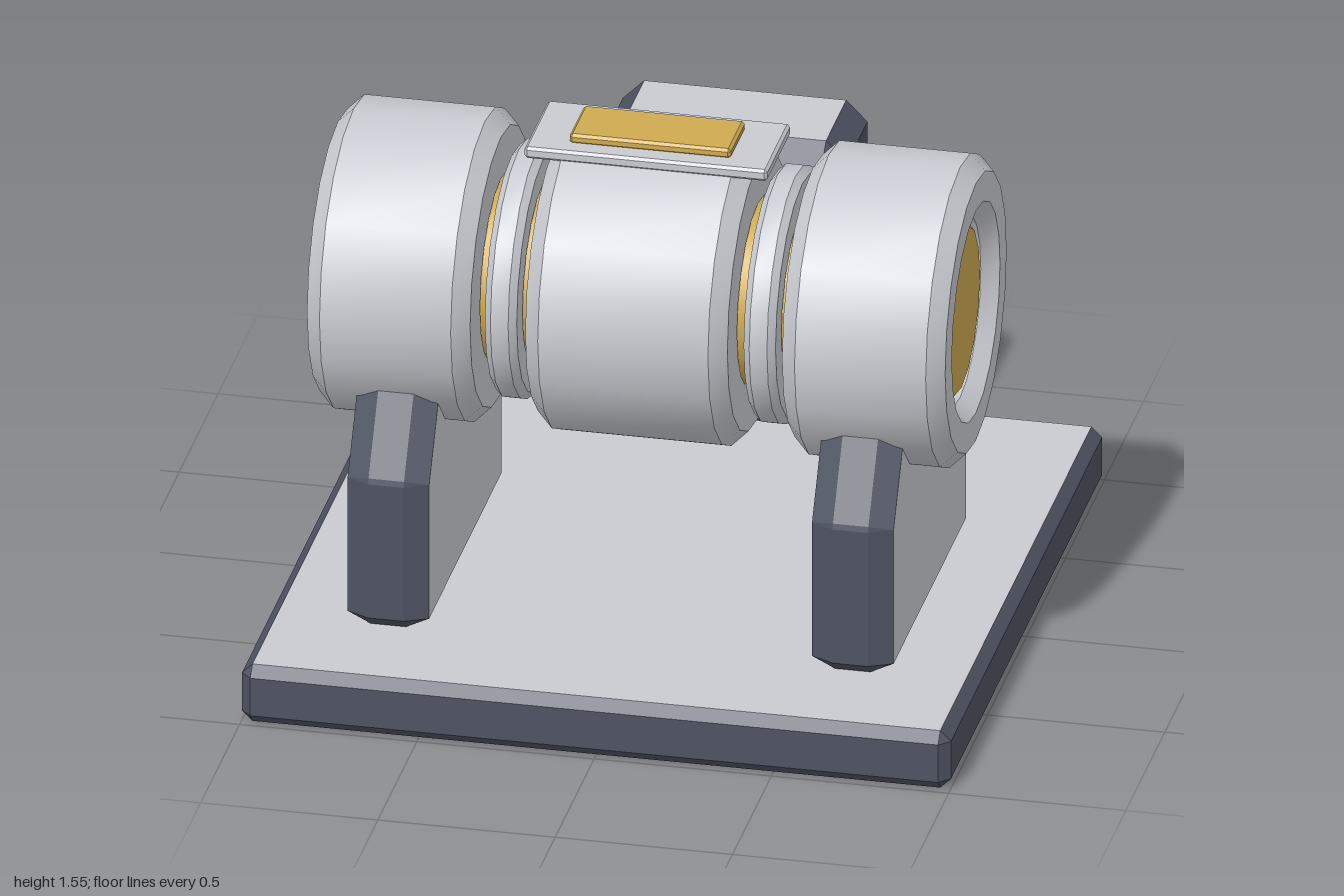
import * as THREE from 'three';
import { toCreasedNormals } from 'three/addons/utils/BufferGeometryUtils.js';
import { ConvexGeometry } from 'three/addons/geometries/ConvexGeometry.js';

const material = (name, color) => {
  const m = new THREE.MeshStandardMaterial({ color });
  m.name = name;
  return m;
};

// Convex prism along z with chamfered edges; group 0 = end caps, group 1 = sides and chamfers.
// `outline` is the counter-clockwise cap outline, the sides stand `size` outside it.
function chamferedPrism(outline, depth, size, thickness) {
  const points = [];
  const h = depth / 2;
  outline.forEach(([x, y], i) => {
    const [x2, y2] = outline[(i + 1) % outline.length];
    const length = Math.hypot(x2 - x, y2 - y);
    const ox = ((y2 - y) / length) * size;
    const oy = (-(x2 - x) / length) * size;
    for (const s of [-1, 1]) {
      const z = s * (h - thickness);
      points.push(new THREE.Vector3(x, y, s * h));
      points.push(new THREE.Vector3(x + ox, y + oy, z), new THREE.Vector3(x2 + ox, y2 + oy, z));
    }
  });
  const geometry = new ConvexGeometry(points);
  const normal = geometry.attributes.normal;
  for (let i = 0; i < normal.count; i += 3) {
    geometry.addGroup(i, 3, Math.abs(normal.getZ(i)) > 0.99 ? 0 : 1);
  }
  return geometry;
}

const rectangle = (w, d) => [[-w / 2, -d / 2], [w / 2, -d / 2], [w / 2, d / 2], [-w / 2, d / 2]];

// Chamfered slab with its caps facing up and down, given by overall sizes
function slab(w, h, d, bevel) {
  return chamferedPrism(rectangle(w - 2 * bevel, d - 2 * bevel), h, bevel, bevel).rotateX(-Math.PI / 2);
}

// Turned part around the x axis; profile is [radius, x]
function turned(profile, segments) {
  const lathe = new THREE.LatheGeometry(profile.map(([r, x]) => new THREE.Vector2(r, x)), segments);
  return toCreasedNormals(lathe.rotateZ(-Math.PI / 2), 0.5);
}

// Hollow drum with chamfered rims
function drumProfile(x0, x1, radius, bore, chamfer) {
  return [
    [bore, x0], [radius - chamfer, x0], [radius, x0 + chamfer],
    [radius, x1 - chamfer], [radius - chamfer, x1], [bore, x1], [bore, x0],
  ];
}

export function createModel() {
  const grey = material('light grey', 0xc8cbd1);
  const navy = material('dark slate', 0x4e5362);
  const gold = material('gold', 0xcfaa50);
  const model = new THREE.Group();
  model.name = 'drumMachine';

  const add = (parent, name, geometry, mat, x = 0, y = 0, z = 0) => {
    const mesh = new THREE.Mesh(geometry, mat);
    mesh.name = name;
    mesh.position.set(x, y, z);
    parent.add(mesh);
    return mesh;
  };

  // Base and rear housing
  add(model, 'base', slab(2, 0.175, 2, 0.03), [grey, navy], 0, 0.0875, 0);
  add(model, 'rearHousing', slab(0.69, 0.88, 0.38, 0.06), [grey, navy], 0, 0.68, -0.81);

  // Two cradle supports under the outer drums
  const cradle = [[-0.465, 0.21], [0.465, 0.21], [0.465, 0.62], [0.3, 0.9], [-0.3, 0.9], [-0.465, 0.62]];
  const support = chamferedPrism(cradle, 0.23, 0.032, 0.065).rotateY(Math.PI / 2);
  add(model, 'leftSupport', support, [grey, navy], 0.655, 0, 0.195);
  add(model, 'rightSupport', support, [grey, navy], -0.655, 0, 0.195);

  // Drum assembly on a common axle
  const drums = new THREE.Group();
  drums.name = 'drumAssembly';
  drums.position.set(0, 1.08, 0.195);
  model.add(drums);

  const end = 0.86;
  add(drums, 'axle', turned([
    [0, -end], [0.235, -end], [0.26, -end + 0.025],
    [0.26, end - 0.025], [0.235, end], [0, end],
  ], 16), gold);
  add(drums, 'middleDrum', turned(drumProfile(-0.285, 0.285, 0.437, 0.268, 0.045), 20), grey);

  // Outer drum with a flared bore at its outer end
  const outerDrum = turned([
    [0.268, 0.44], [0.395, 0.44], [0.44, 0.485], [0.44, 0.855],
    [0.395, 0.9], [0.31, 0.9], [0.268, 0.855], [0.268, 0.44],
  ], 20);
  const collar = turned(drumProfile(0.32, 0.41, 0.362, 0.268, 0.02), 20);
  for (const [side, turn] of [['left', 0], ['right', Math.PI]]) {
    add(drums, side + 'Drum', outerDrum, grey).rotation.y = turn;
    add(drums, side + 'Collar', collar, grey).rotation.y = turn;
  }

  // Top plate with its inlay
  add(model, 'topPlate', slab(0.685, 0.035, 0.305, 0.008), [grey, grey], 0, 1.507, 0.188);
  add(model, 'topInlay', slab(0.455, 0.03, 0.19, 0.008), [gold, gold], 0, 1.535, 0.19);

  return model;
}
